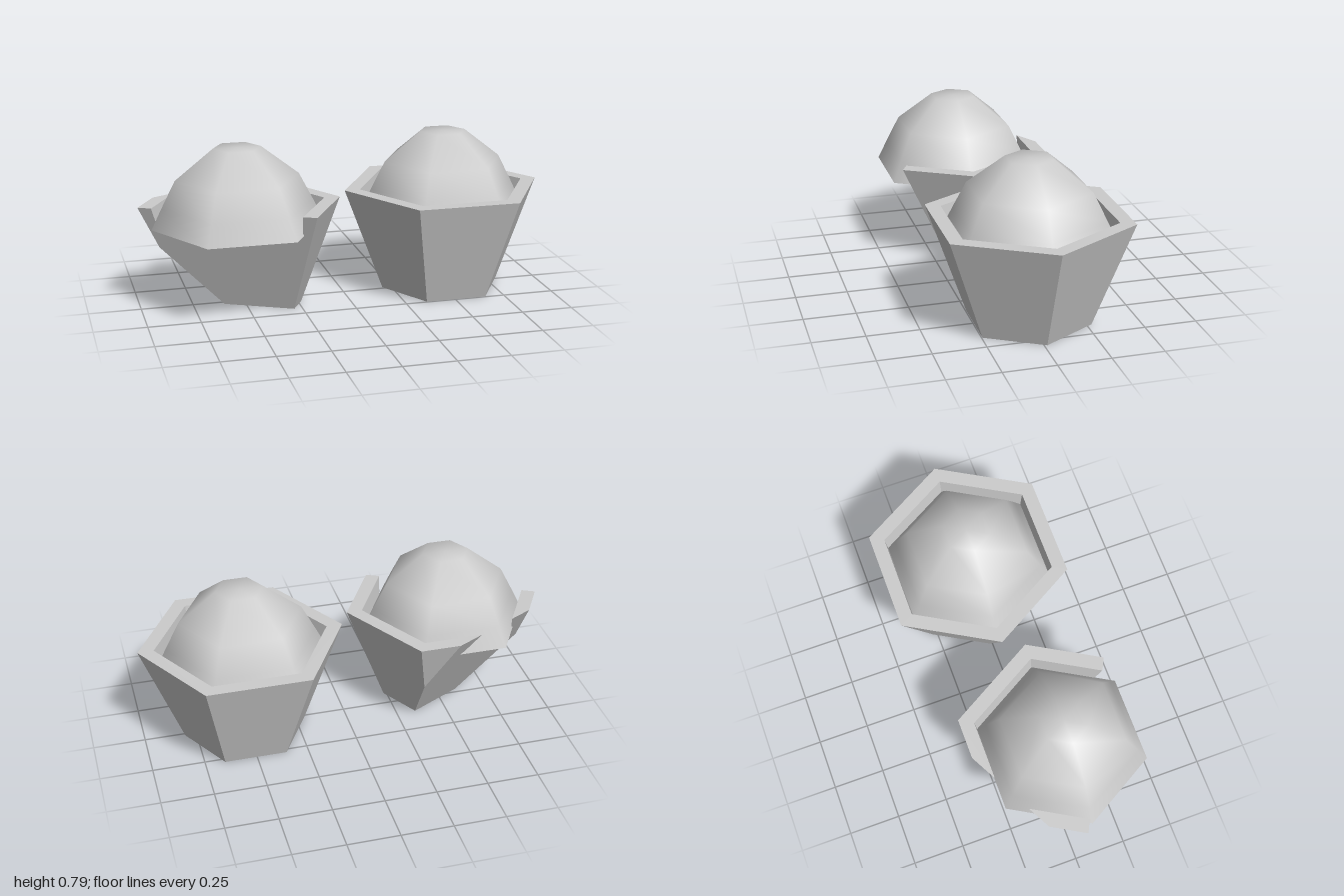
import * as THREE from 'three';

const RIM_Y = 0.515, SEAT_Y = 0.415, DOME_R = 0.411;
const stone = new THREE.MeshStandardMaterial({ color: 0xcccccc });
stone.name = 'pale grey';

const outerR = (y) => 0.3 + 0.195 * y / RIM_Y;

// corner i of a hexagon with corners on the x axis
function corner(i, r, y) {
  const a = i * Math.PI / 3;
  return new THREE.Vector3(r * Math.cos(a), y, r * Math.sin(a));
}
const hexagon = (r, y) => [0, 1, 2, 3, 4, 5].map((i) => corner(i, r, y));

// cut a convex solid (list of faces) by a plane and close the cut
function cutSolid(faces, plane) {
  const cap = [], result = [];
  for (const face of faces) {
    const pts = [];
    face.pts.forEach((a, i) => {
      const b = face.pts[(i + 1) % face.pts.length];
      const da = plane.distanceToPoint(a), db = plane.distanceToPoint(b);
      if (da <= 0) pts.push(a);
      if (da * db < 0) {
        const p = a.clone().lerp(b, da / (da - db));
        pts.push(p);
        if (!cap.some((q) => q.distanceTo(p) < 1e-5)) cap.push(p);
      }
    });
    if (pts.length > 2) result.push({ pts, hidden: face.hidden });
  }
  if (cap.length > 2) {
    const mid = cap.reduce((s, p) => s.add(p), new THREE.Vector3()).divideScalar(cap.length);
    const u = cap[0].clone().sub(mid).normalize();
    const v = plane.normal.clone().cross(u);
    const angle = (p) => {
      const d = p.clone().sub(mid);
      return Math.atan2(d.dot(v), d.dot(u));
    };
    cap.sort((a, b) => angle(a) - angle(b));
    result.push({ pts: cap, hidden: false });
  }
  return result;
}

// add the visible faces of a convex solid, all turned outward
function addTriangles(faces, out) {
  const all = faces.flatMap((f) => f.pts);
  const mid = all.reduce((s, p) => s.add(p), new THREE.Vector3()).divideScalar(all.length || 1);
  for (const { pts, hidden } of faces) {
    if (hidden) continue;
    for (let i = 1; i < pts.length - 1; i++) {
      const [a, b, c] = [pts[0], pts[i], pts[i + 1]];
      const n = b.clone().sub(a).cross(c.clone().sub(a));
      const order = n.dot(a.clone().sub(mid)) > 0 ? [a, b, c] : [a, c, b];
      order.forEach((p) => out.push(p.x, p.y, p.z));
    }
  }
}

function makePot(cuts) {
  const lowR = outerR(SEAT_Y), topR = outerR(RIM_Y);
  // solid lower body
  const body = [
    { pts: hexagon(0.3, 0), hidden: false },
    { pts: hexagon(lowR, SEAT_Y), hidden: true },
  ];
  const solids = [body];
  for (let i = 0; i < 6; i++) {
    const j = i + 1;
    body.push({
      pts: [corner(i, 0.3, 0), corner(j, 0.3, 0), corner(j, lowR, SEAT_Y), corner(i, lowR, SEAT_Y)],
      hidden: false,
    });
    // one side of the raised rim: low outer, high outer, high inner, low inner
    const ring = (k) => [corner(k, lowR, SEAT_Y), corner(k, topR, RIM_Y),
      corner(k, 0.418, RIM_Y), corner(k, 0.404, SEAT_Y)];
    const a = ring(i), b = ring(j);
    const rim = [{ pts: a, hidden: true }, { pts: b, hidden: true }];
    for (let k = 0; k < 4; k++) {
      const m = (k + 1) % 4;
      rim.push({ pts: [a[k], a[m], b[m], b[k]], hidden: k === 3 });
    }
    solids.push(rim);
  }
  const positions = [];
  for (const solid of solids) addTriangles(cuts.reduce(cutSolid, solid), positions);
  const geometry = new THREE.BufferGeometry();
  geometry.setAttribute('position', new THREE.Float32BufferAttribute(positions, 3));
  geometry.computeVertexNormals();
  const pot = new THREE.Mesh(geometry, stone);
  pot.name = 'pot';
  return pot;
}

function makeDome() {
  const group = new THREE.Group();
  group.name = 'dome';
  const profile = [[DOME_R, SEAT_Y], [0.362, RIM_Y], [0.295, 0.645], [0.114, 0.787], [0, 0.787]]
    .map(([r, y]) => new THREE.Vector2(r, y));
  const shell = new THREE.Mesh(new THREE.LatheGeometry(profile, 6, Math.PI / 2), stone);
  shell.name = 'domeShell';
  const base = new THREE.Mesh(new THREE.CircleGeometry(DOME_R, 6).rotateX(Math.PI / 2), stone);
  base.position.y = SEAT_Y;
  base.name = 'domeBase';
  group.add(shell, base);
  return group;
}

function makePlanter(name, x, z, cuts) {
  const group = new THREE.Group();
  group.name = name;
  group.position.set(x, 0, z);
  group.add(makePot(cuts), makeDome());
  return group;
}

// sloping plane: everything further than d + slope * y along (nx, nz) is removed
function slopedCut(nx, nz, d, slope) {
  const normal = new THREE.Vector3(nx, -slope, nz);
  const len = normal.length();
  return new THREE.Plane(normal.divideScalar(len), -d / len);
}

export function createModel() {
  const model = new THREE.Group();
  model.name = 'planterPair';
  model.add(
    makePlanter('wholePlanter', 0.505, -0.014, []),
    makePlanter('brokenPlanter', -0.535, 0.084, [
      slopedCut(-0.44, 0.898, -0.022, 0.357), // front break
      slopedCut(-0.46, -0.888, 0.081, 0.535), // back break
    ]),
  );
  return model;
}
